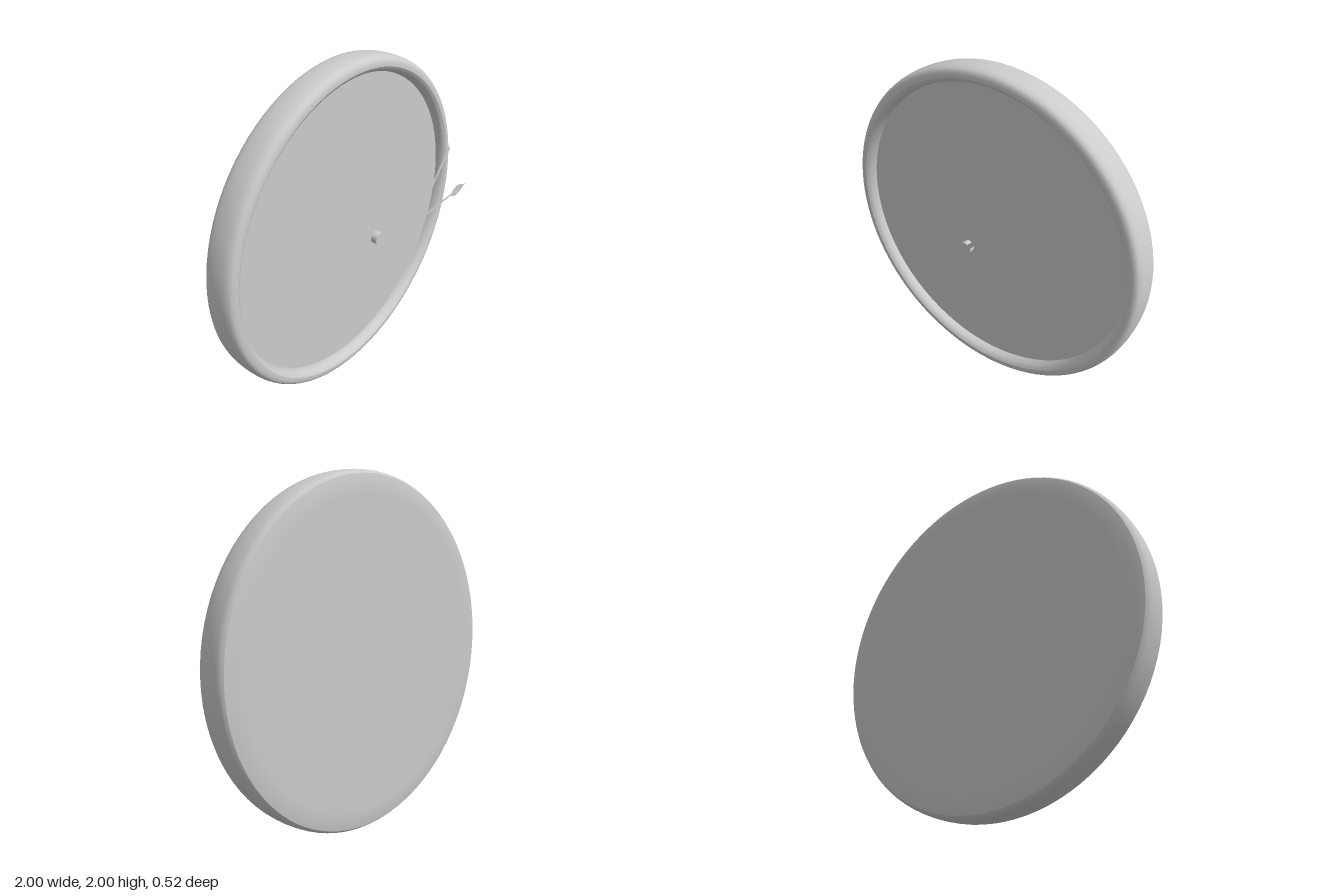
import * as THREE from 'three';

const material = new THREE.MeshStandardMaterial({ color: 0xcccccc, side: THREE.DoubleSide });

function addMesh(parent, name, geometry, z = 0) {
  const mesh = new THREE.Mesh(geometry, material);
  mesh.name = name;
  mesh.position.z = z;
  parent.add(mesh);
  return mesh;
}

// Profile of [radius, z] points turned around the z axis
function turned(points) {
  const profile = points.map(([r, z]) => new THREE.Vector2(r, z));
  return new THREE.LatheGeometry(profile, 96).rotateX(Math.PI / 2);
}

// Rounded stretch of profile through a few points
function smooth(points, n = 20) {
  const curve = new THREE.SplineCurve(points.map(([r, z]) => new THREE.Vector2(r, z)));
  return curve.getPoints(n).map((p) => [p.x, p.y]);
}

// Flat hand pointing up: ring at the hub, then a tapering stem.
// With a spade it ends in a pointed leaf, otherwise in a square end.
function handGeometry({ length, base, waist, stemEnd, spade }) {
  const R = 0.053;
  const a = Math.asin(base / R);
  const s = new THREE.Shape();
  s.absarc(0, 0, R, Math.PI / 2 + a, Math.PI / 2 - a + Math.PI * 2, false);
  if (waist.step) {
    s.lineTo(base, waist.step);
    s.lineTo(waist.half, waist.step + 0.005);
  }
  s.lineTo(waist.half, stemEnd);
  if (spade) {
    const mid = stemEnd + (length - stemEnd) * 0.36;
    s.quadraticCurveTo(spade, stemEnd + 0.025, spade, mid);
    s.bezierCurveTo(spade, mid + 0.05, 0.006, mid + 0.06, 0, length);
    s.bezierCurveTo(-0.006, mid + 0.06, -spade, mid + 0.05, -spade, mid);
    s.quadraticCurveTo(-spade, stemEnd + 0.025, -waist.half, stemEnd);
  } else {
    s.lineTo(-waist.half, stemEnd);
  }
  if (waist.step) {
    s.lineTo(-waist.half, waist.step + 0.005);
    s.lineTo(-base, waist.step);
  }
  s.closePath();
  const hole = new THREE.Path();
  hole.absarc(0, 0, 0.038, 0, Math.PI * 2, true);
  s.holes.push(hole);
  return new THREE.ShapeGeometry(s, 24);
}

export function createModel() {
  const clock = new THREE.Group();
  clock.name = 'wallClock';
  const parts = new THREE.Group();
  parts.name = 'clockParts';
  parts.position.y = 1;
  clock.add(parts);

  // Case: slightly domed back, rounded rim, sloping inner wall and dial
  const body = new THREE.Group();
  body.name = 'case';
  parts.add(body);
  addMesh(body, 'back', turned([[0, -0.26], [0.87, -0.26], [0.93, -0.257], [0.975, -0.248]]));
  addMesh(body, 'rim', turned(smooth([
    [0.975, -0.248], [0.992, -0.225], [1, -0.17], [0.998, -0.11],
    [0.986, -0.075], [0.965, -0.062], [0.94, -0.06],
  ])));
  addMesh(body, 'innerWall', turned(smooth([[0.94, -0.06], [0.92, -0.075], [0.908, -0.1], [0.905, -0.12]], 10)));
  addMesh(body, 'dial', new THREE.CircleGeometry(0.905, 96), -0.12);

  // Pin in front of the dial
  addMesh(parts, 'centerPin', new THREE.CylinderGeometry(0.036, 0.036, 0.037, 32).rotateX(Math.PI / 2), 0.07);

  // Hands, each on its own layer
  const minute = addMesh(parts, 'minuteHand', handGeometry({
    length: 0.84, base: 0.013, waist: { half: 0.007 }, stemEnd: 0.66, spade: 0.034,
  }), 0.155);
  minute.rotation.z = -Math.PI / 2;
  addMesh(parts, 'hourHand', handGeometry({
    length: 0.695, base: 0.013, waist: { half: 0.008, step: 0.19 }, stemEnd: 0.51, spade: 0.035,
  }), 0.203);
  const second = addMesh(parts, 'secondHand', handGeometry({
    length: 0.62, base: 0.012, waist: { half: 0.012 }, stemEnd: 0.62, spade: 0,
  }), 0.26);
  second.rotation.z = -0.72;

  return clock;
}
